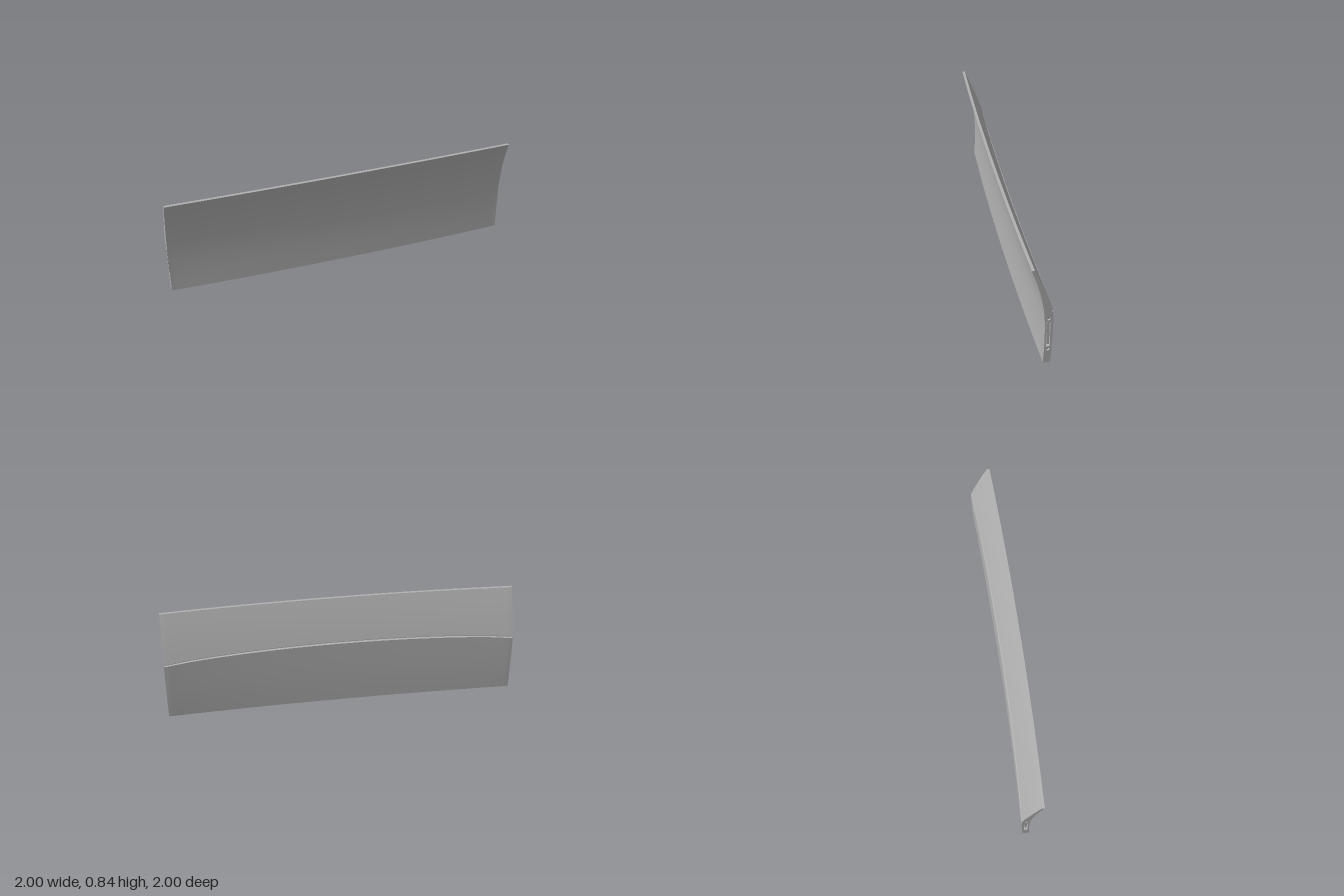
import * as THREE from 'three';
import { toCreasedNormals } from 'three/addons/utils/BufferGeometryUtils.js';

const HALF = 1.336;  // half length of the panel
const CAP = 0.028;   // thickness of each end plate
const END = HALF - CAP;

// Inner (concave) face, as [depth, height]
const INNER = [[-0.013, 0], [-0.019, 0.12], [-0.021, 0.24], [-0.02, 0.36], [-0.014, 0.45],
  [-0.002, 0.54], [0.016, 0.63], [0.04, 0.72], [0.06, 0.78], [0.078, 0.832]];

// Outer face above the belt line
function upperDepth(y) {
  const s = (y - 0.465) / 0.367;
  return -0.078 + 0.115 * s + 0.02 * s * s;
}

// Closed cross-section; bow runs from 0 at the ends to 1 in the middle
function section(bow, channel) {
  const belt = 0.465 + 0.048 * Math.pow(bow, 0.75);
  const lip = THREE.MathUtils.lerp(-0.078, upperDepth(belt), 0.6);
  const pts = INNER.map((p) => [...p]);
  for (let i = 0; i <= 6; i++) {
    const y = THREE.MathUtils.lerp(0.832, belt + 0.008, i / 6);
    pts.push([upperDepth(y), y]);
  }
  // belt groove
  const g = upperDepth(belt) + 0.014;
  pts.push([g, belt + 0.006], [g, belt - 0.004], [lip, belt - 0.006]);
  // outer face below the belt line
  for (const [d, f] of [[0.001, 0.75], [0.003, 0.5], [0.007, 0.25], [0.014, 0]]) {
    pts.push([THREE.MathUtils.lerp(-0.078 + d, lip + d, f), belt * f]);
  }
  // channel along the underside
  if (channel) pts.push([-0.051, 0], [-0.051, 0.025], [-0.026, 0.025], [-0.026, 0]);
  return pts.map(([v, y]) => [v + 0.026 * bow, y + 0.009 * bow * (y / 0.832)]);
}

const bowAt = (u) => Math.max(0, 1 - (u / END) ** 2);

// Long panel lofted through the cross-sections
function panelGeometry() {
  const rings = 16, pos = [], idx = [];
  let n = 0;
  for (let i = 0; i <= rings; i++) {
    const u = -END + (2 * END * i) / rings;
    const s = section(bowAt(u), true);
    n = s.length;
    for (const [v, y] of s) pos.push(u, y, v);
  }
  for (let i = 0; i < rings; i++) {
    for (let j = 0; j < n; j++) {
      const a = i * n + j, d = i * n + ((j + 1) % n);
      idx.push(a, a + n, d + n, a, d + n, d);
    }
  }
  const geo = new THREE.BufferGeometry();
  geo.setAttribute('position', new THREE.Float32BufferAttribute(pos, 3));
  geo.setIndex(idx);
  return toCreasedNormals(geo, 0.4);
}

// End plate outline, optionally pierced for the latch slot and screws
const SCREWS = [0.125, 0.4];
const MID = -0.0445;
function endShape(pierced) {
  const shape = new THREE.Shape(section(0, false).map(([v, y]) => new THREE.Vector2(v, y)));
  if (pierced) {
    const slot = new THREE.Path();
    slot.moveTo(MID - 0.014, 0.15).lineTo(MID + 0.014, 0.15);
    slot.lineTo(MID + 0.014, 0.368).lineTo(MID - 0.014, 0.368).closePath();
    shape.holes.push(slot);
    for (const y of SCREWS) {
      shape.holes.push(new THREE.Path().absarc(MID, y, 0.013, 0, Math.PI * 2, true));
    }
  }
  return shape;
}

function plateGeometry(pierced, depth) {
  const geo = new THREE.ExtrudeGeometry(endShape(pierced), { depth, bevelEnabled: false, curveSegments: 8 });
  return toCreasedNormals(geo.rotateY(-Math.PI / 2), 0.4);
}

export function createModel() {
  const model = new THREE.Group();
  model.name = 'curvedPanel';
  const panelGrey = new THREE.MeshStandardMaterial({ color: 0xb0b0b0 });
  panelGrey.name = 'panelGrey';
  const fittingGrey = new THREE.MeshStandardMaterial({ color: 0x8c8c8c });
  fittingGrey.name = 'fittingGrey';

  // The panel stands diagonally
  const panel = new THREE.Group();
  panel.name = 'panel';
  panel.rotation.y = Math.PI / 4;
  model.add(panel);

  function add(geo, mat, name, x = 0, y = 0, z = 0) {
    const mesh = new THREE.Mesh(geo, mat);
    mesh.name = name;
    mesh.position.set(x, y, z);
    panel.add(mesh);
    return mesh;
  }

  add(panelGeometry(), panelGrey, 'shell');

  // End plates with latch slot and screws
  const face = plateGeometry(true, CAP - 0.006);
  const backing = plateGeometry(false, 0.006);
  const screw = new THREE.CylinderGeometry(0.008, 0.008, 0.014, 10).rotateZ(Math.PI / 2);
  for (const side of [-1, 1]) {
    add(backing, panelGrey, 'endBacking', side < 0 ? -END : END + 0.006);
    add(face, panelGrey, 'endPlate', side < 0 ? -END - 0.006 : HALF);
    const x = side * (END + 0.012);
    add(new THREE.BoxGeometry(0.012, 0.196, 0.016), panelGrey, 'latchBar', x, 0.259, MID);
    for (const y of SCREWS) add(screw, fittingGrey, 'endScrew', x, y, MID);
  }

  // Screws in the underside channel
  const stud = new THREE.CylinderGeometry(0.01, 0.01, 0.018, 10);
  for (const u of [-1.22, 0, 1.22]) {
    add(stud, panelGrey, 'bottomScrew', u, 0.017, -0.0385 + 0.026 * bowAt(u));
  }
  return model;
}
